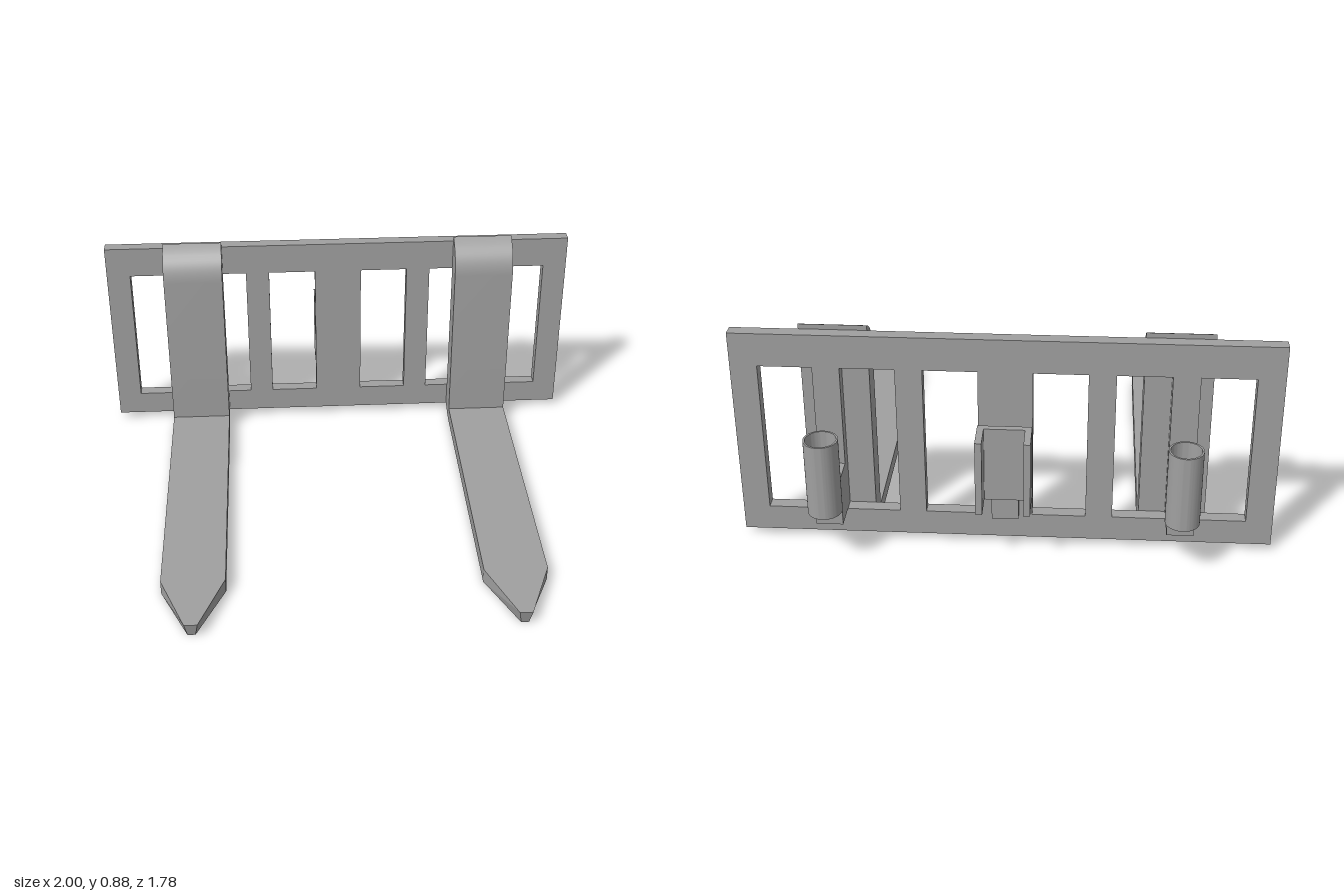
import * as THREE from 'three';
import { toCreasedNormals } from 'three/addons/utils/BufferGeometryUtils.js';

export function createModel() {
  const steel = new THREE.MeshStandardMaterial({ color: 0xa0a0a0 });
  steel.name = 'grey steel';
  const model = new THREE.Group();
  model.name = 'forkAttachment';

  function add(name, geometry, parent = model) {
    const mesh = new THREE.Mesh(geometry, steel);
    mesh.name = name;
    parent.add(mesh);
    return mesh;
  }
  // Box given by its lower and upper limits
  function block(x0, x1, y0, y1, z0, z1) {
    return new THREE.BoxGeometry(x1 - x0, y1 - y0, z1 - z0)
      .translate((x0 + x1) / 2, (y0 + y1) / 2, (z0 + z1) / 2);
  }
  function extrude(shape, depth, curveSegments = 16) {
    return new THREE.ExtrudeGeometry(shape, { depth, curveSegments, bevelEnabled: false });
  }
  function rectangle(path, x0, x1, y0, y1) {
    return path.moveTo(x0, y0).lineTo(x1, y0).lineTo(x1, y1).lineTo(x0, y1).closePath();
  }

  // Carriage plate with six slots
  const plate = rectangle(new THREE.Shape(), -1, 1, 0.03, 0.86);
  for (const x of [-0.9, -0.6, -0.3, 0.1, 0.4, 0.7]) {
    plate.holes.push(rectangle(new THREE.Path(), x, x + 0.2, 0.13, 0.73));
  }
  add('carriagePlate', extrude(plate, 0.05).translate(0, 0, -0.66));

  // L-shaped fork profile: shape x runs along z, shape y is up
  const profile = new THREE.Shape();
  profile.moveTo(0.635, 0);
  profile.lineTo(0.635, 0.06);
  profile.lineTo(-0.51, 0.06);
  profile.lineTo(-0.51, 0.74);
  profile.quadraticCurveTo(-0.512, 0.84, -0.61, 0.88);
  profile.lineTo(-0.61, 0.03);
  profile.quadraticCurveTo(-0.55, 0, -0.48, 0);
  profile.closePath();
  const forkGeometry = toCreasedNormals(
    extrude(profile, 0.25).translate(0, 0, -0.125).rotateY(-Math.PI / 2), 0.5);

  // Tip: a block whose front end is narrowed and undercut
  const tipGeometry = block(-0.125, 0.125, 0, 0.06, 0.635, 0.89).toNonIndexed();
  const p = tipGeometry.attributes.position;
  for (let i = 0; i < p.count; i++) {
    if (p.getZ(i) < 0.8) continue;
    const low = p.getY(i) < 0.03;
    p.setX(i, Math.sign(p.getX(i)) * (low ? 0.015 : 0.025));
    if (low) p.setZ(i, 0.875);
  }
  tipGeometry.computeVertexNormals();

  // Hollow pin socket, axis upright
  const ring = new THREE.Shape().absarc(0, 0, 0.063, 0, Math.PI * 2, false);
  ring.holes.push(new THREE.Path().absarc(0, 0, 0.056, 0, Math.PI * 2, true));
  const tubeGeometry = toCreasedNormals(
    extrude(ring, 0.3, 40).rotateX(-Math.PI / 2).translate(0, 0.23, -0.828), 0.6);

  for (const side of [-1, 1]) {
    const fork = new THREE.Group();
    fork.name = side > 0 ? 'leftFork' : 'rightFork';
    fork.position.x = side * 0.625;
    add('forkBlade', forkGeometry, fork);
    add('forkTip', tipGeometry, fork);
    model.add(fork);

    const socket = new THREE.Group();
    socket.name = side > 0 ? 'leftSocket' : 'rightSocket';
    socket.position.x = side * 0.65;
    add('socketBracket', block(-0.05, 0.05, 0.13, 0.33, -0.768, -0.66), socket);
    add('socketTube', tubeGeometry, socket);
    model.add(socket);
  }

  // Central U-shaped clevis on its spacer; shape y runs along -z
  const clevis = new THREE.Shape();
  [[-0.1, 0.695], [0.1, 0.695], [0.1, 0.825], [0.075, 0.825],
    [0.075, 0.72], [-0.075, 0.72], [-0.075, 0.825], [-0.1, 0.825]]
    .forEach(([x, y], i) => (i ? clevis.lineTo(x, y) : clevis.moveTo(x, y)));
  clevis.closePath();
  add('clevis', extrude(clevis, 0.3).rotateX(-Math.PI / 2).translate(0, 0.23, 0));
  add('clevisSpacer', block(-0.05, 0.05, 0.13, 0.33, -0.695, -0.66));

  return model;
}
